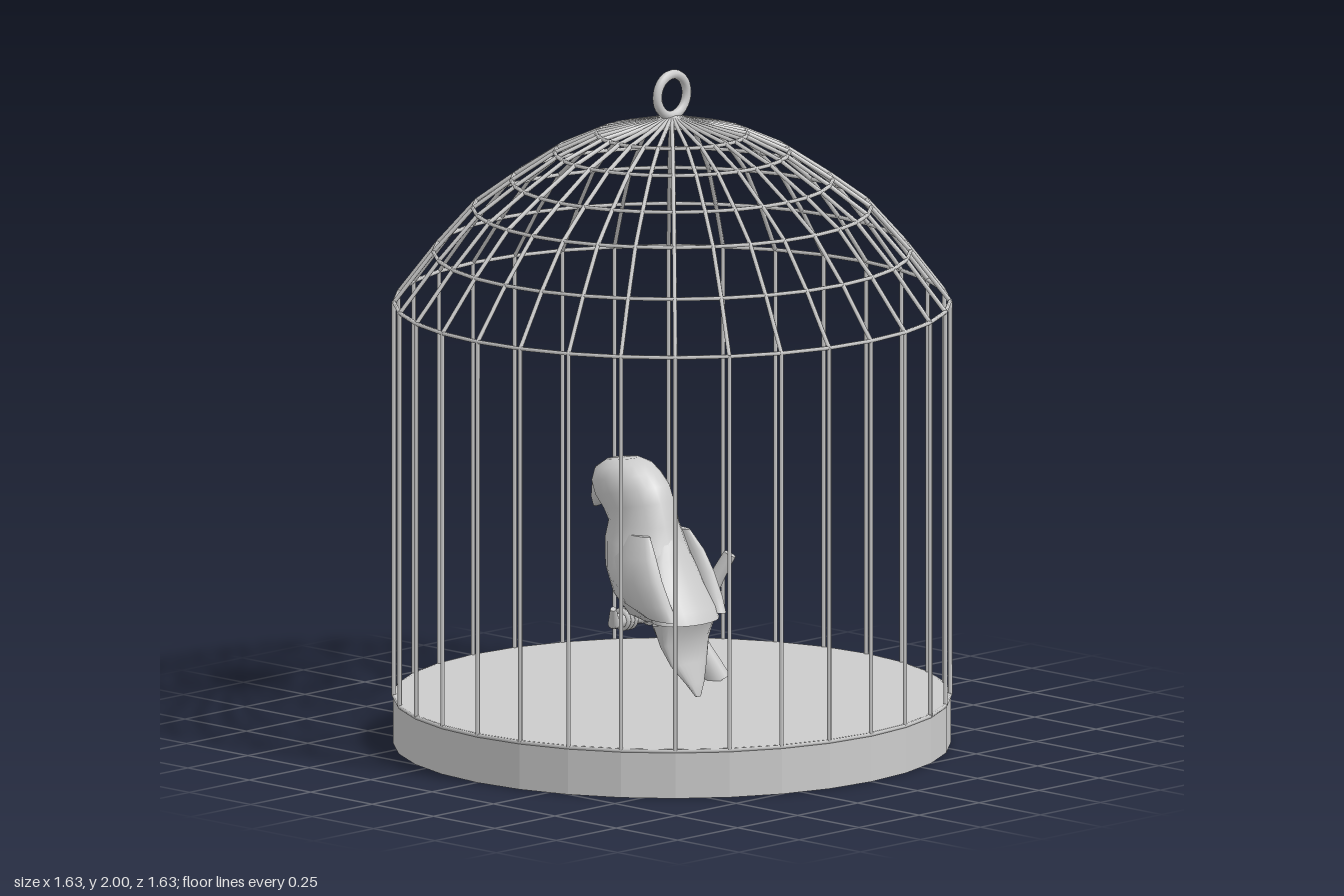
import * as THREE from 'three';
import { mergeGeometries, toCreasedNormals } from 'three/addons/utils/BufferGeometryUtils.js';

const SIDES = 32;
const V = (x, y, z) => new THREE.Vector3(x, y, z);

function add(parent, name, geometry) {
  const mesh = new THREE.Mesh(geometry, new THREE.MeshStandardMaterial({ color: 0xcccccc }));
  mesh.name = name;
  parent.add(mesh);
  return mesh;
}

// Straight rod between two points, optionally tapered
function rod(a, b, r0, r1 = r0, sides = 6) {
  const dir = b.clone().sub(a);
  const g = new THREE.CylinderGeometry(r1, r0, dir.length(), sides);
  g.applyQuaternion(new THREE.Quaternion().setFromUnitVectors(V(0, 1, 0), dir.normalize()));
  const m = a.clone().add(b).multiplyScalar(0.5);
  return g.translate(m.x, m.y, m.z);
}

// Closed loft through oval sections listed from bottom to top:
// [back z, back y, front z, front y, half width, centre x]
function loft(sections, n = 24, crease = 0.9) {
  const pos = [], index = [], rows = sections.length;
  for (const [bz, by, fz, fy, w, cx = 0] of sections) {
    for (let j = 0; j < n; j++) {
      const a = j / n * Math.PI * 2, c = Math.cos(a) / 2;
      pos.push(cx + w * Math.sin(a), (by + fy) / 2 + (fy - by) * c, (bz + fz) / 2 + (fz - bz) * c);
    }
  }
  for (let i = 0; i < rows - 1; i++) {
    for (let j = 0; j < n; j++) {
      const k = (j + 1) % n, a = i * n + j, b = i * n + k, c = a + n, d = b + n;
      index.push(a, c, b, b, c, d);
    }
  }
  for (const row of [0, rows - 1]) {
    const [bz, by, fz, fy, , cx = 0] = sections[row], centre = pos.length / 3;
    pos.push(cx, (by + fy) / 2, (bz + fz) / 2);
    for (let j = 0; j < n; j++) {
      const a = row * n + j, b = row * n + (j + 1) % n;
      index.push(centre, ...(row ? [b, a] : [a, b]));
    }
  }
  const g = new THREE.BufferGeometry();
  g.setAttribute('position', new THREE.Float32BufferAttribute(pos, 3));
  g.setIndex(index);
  return toCreasedNormals(g, crease);
}

function buildCage() {
  const cage = new THREE.Group();
  cage.name = 'cage';
  // Faceted floor drum
  const base = add(cage, 'base', new THREE.CylinderGeometry(0.813, 0.813, 0.145, SIDES));
  base.position.y = 0.0725;
  base.material.flatShading = true;

  // Radius and height along one bar, floor to crown
  const profile = [[0.81, 0.14], [0.81, 1.31], [0.695, 1.46], [0.58, 1.59],
    [0.468, 1.672], [0.342, 1.755], [0.22, 1.81], [0, 1.862]];
  const bars = [];
  for (let i = 0; i < SIDES; i++) {
    const a = i / SIDES * Math.PI * 2;
    const pts = profile.map(([r, y]) => V(r * Math.cos(a), y, r * Math.sin(a)));
    for (let k = 1; k < pts.length; k++) bars.push(rod(pts[k - 1], pts[k], 0.0065));
  }
  add(cage, 'bars', mergeGeometries(bars));

  // Horizontal hoops
  profile.slice(0, -1).forEach(([r, y]) => {
    const hoop = add(cage, 'hoop', new THREE.TorusGeometry(r, 0.006, 6, SIDES));
    hoop.rotation.x = Math.PI / 2;
    hoop.position.y = y;
  });

  const ring = add(cage, 'hangingRing', new THREE.TorusGeometry(0.061, 0.014, 10, 32));
  ring.position.y = 1.925;
  return cage;
}

function buildBird() {
  const bird = new THREE.Group();
  bird.name = 'bird';
  add(bird, 'body', loft([
    [0.05, 0.37, -0.09, 0.355, 0.06],
    [0.09, 0.39, -0.14, 0.38, 0.105],
    [0.085, 0.44, -0.19, 0.44, 0.13],
    [0.055, 0.50, -0.22, 0.52, 0.133],
    [0.02, 0.58, -0.232, 0.60, 0.112],
    [0, 0.64, -0.228, 0.645, 0.092],
    [-0.02, 0.71, -0.25, 0.67, 0.09],
    [-0.04, 0.755, -0.283, 0.705, 0.094],
    [-0.075, 0.79, -0.298, 0.745, 0.09],
    [-0.11, 0.813, -0.287, 0.785, 0.076],
    [-0.15, 0.824, -0.25, 0.812, 0.045],
  ], 24, 1.2));
  add(bird, 'beak', loft([
    [-0.308, 0.658, -0.318, 0.658, 0.004],
    [-0.28, 0.67, -0.321, 0.695, 0.022],
    [-0.26, 0.68, -0.312, 0.735, 0.034],
    [-0.24, 0.70, -0.29, 0.775, 0.036],
  ], 12));
  // Feathered back ending in a straight hem over the tail
  add(bird, 'backFeathers', loft([
    [0.13, 0.37, -0.02, 0.375, 0.118],
    [0.115, 0.405, -0.03, 0.40, 0.12],
    [0.07, 0.475, -0.06, 0.45, 0.11],
    [0.035, 0.55, -0.06, 0.53, 0.085],
    [0, 0.63, -0.06, 0.61, 0.04],
  ]));
  add(bird, 'tail', loft([
    [0.112, 0.152, 0.1, 0.152, 0.01],
    [0.107, 0.19, 0.082, 0.19, 0.036],
    [0.088, 0.25, 0.05, 0.24, 0.072],
    [0.08, 0.31, 0.022, 0.30, 0.097],
    [0.115, 0.378, -0.02, 0.36, 0.113],
  ]));
  for (const s of [-1, 1]) {
    add(bird, s > 0 ? 'leftWing' : 'rightWing', loft([
      [0.115, 0.385, 0, 0.39, 0.028, s * 0.102],
      [0.095, 0.43, -0.08, 0.42, 0.034, s * 0.107],
      [0.06, 0.50, -0.13, 0.48, 0.034, s * 0.108],
      [0.03, 0.56, -0.14, 0.55, 0.03, s * 0.1],
      [-0.01, 0.62, -0.11, 0.62, 0.015, s * 0.083],
    ], 18));
    // Toes curled over the perch
    for (const k of [-1, 0, 1]) {
      const toe = add(bird, 'toe', new THREE.TorusGeometry(0.026, 0.009, 6, 14));
      toe.rotation.y = Math.PI / 2;
      toe.position.set(s * 0.055 + k * 0.016, 0.357, -0.135);
    }
  }
  return bird;
}

function buildBranch() {
  const branch = new THREE.Group();
  branch.name = 'branch';
  const foot = V(0.25, 0.14, -0.055), knee = V(0.205, 0.265, -0.11), fork = V(0.212, 0.31, -0.125);
  add(branch, 'stem', mergeGeometries([
    rod(foot, knee, 0.038, 0.03, 8),
    rod(knee, fork, 0.03, 0.027, 8),
    rod(fork, V(0.277, 0.515, -0.035), 0.03, 0.019, 8),
  ]));
  const perch = new THREE.CatmullRomCurve3([knee, V(0.11, 0.325, -0.14),
    V(0.03, 0.352, -0.14), V(-0.08, 0.355, -0.13), V(-0.165, 0.37, -0.09)]);
  add(branch, 'perch', new THREE.TubeGeometry(perch, 16, 0.022, 8));
  add(branch, 'twig', rod(V(-0.15, 0.36, -0.09), V(-0.183, 0.415, -0.06), 0.018, 0.009, 8));
  return branch;
}

export function createModel() {
  const model = new THREE.Group();
  model.name = 'birdcage';
  model.add(buildCage(), buildBird(), buildBranch());
  return model;
}
